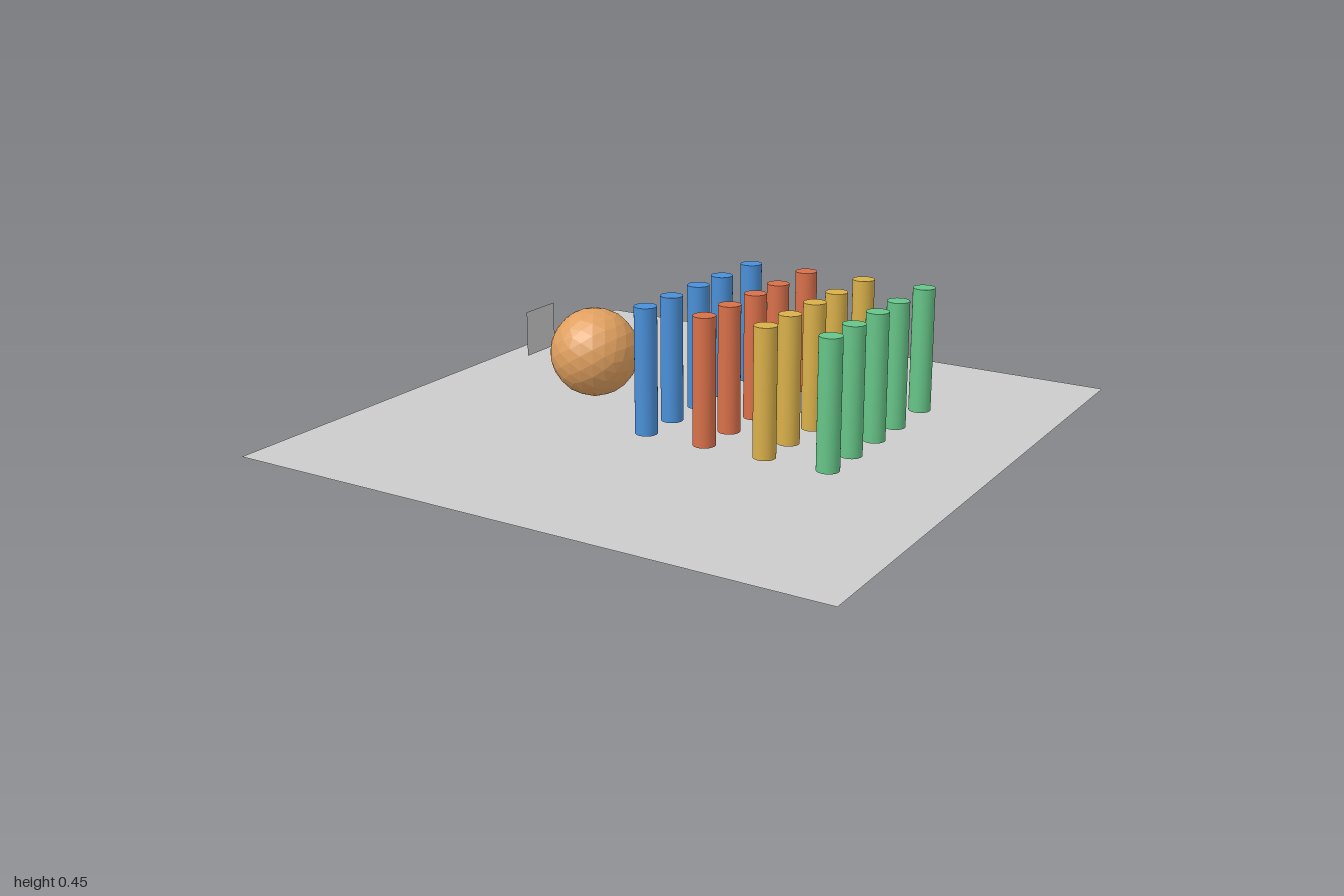
import * as THREE from 'three';

const paint = (color, extra = {}) => new THREE.MeshStandardMaterial({ color, ...extra });

export function createModel() {
  const model = new THREE.Group();
  const add = (name, geometry, material, x, y, z, parent = model) => {
    const mesh = new THREE.Mesh(geometry, material);
    mesh.name = name;
    mesh.position.set(x, y, z);
    parent.add(mesh);
    return mesh;
  };
  const grey = paint(0xcccccc, { side: THREE.DoubleSide });

  // Thin square ground sheet
  add('ground', new THREE.PlaneGeometry(2, 2).rotateX(-Math.PI / 2), grey, 0, 0, 0);

  // Small upright panel behind the ball, facing along x
  add('panel', new THREE.PlaneGeometry(0.15, 0.15).rotateY(Math.PI / 2), grey, -0.62, 0.215, 0);

  // Faceted ball
  add('ball', new THREE.IcosahedronGeometry(0.147, 3),
    paint(0xe0a060, { flatShading: true }), -0.4, 0.17, 0);

  // Four coloured rows of five posts
  const post = new THREE.CylinderGeometry(0.035, 0.035, 0.4, 32);
  const rows = [
    ['bluePosts', 0x4a90d9, 0],
    ['redPosts', 0xd9704a, 0.205],
    ['yellowPosts', 0xd9b04a, 0.41],
    ['greenPosts', 0x66c588, 0.618],
  ];
  for (const [name, color, x] of rows) {
    const row = new THREE.Group();
    row.name = name;
    model.add(row);
    const material = paint(color);
    for (const z of [-0.335, -0.145, 0, 0.157, 0.303]) add('post', post, material, x, 0.25, z, row);
  }
  return model;
}
